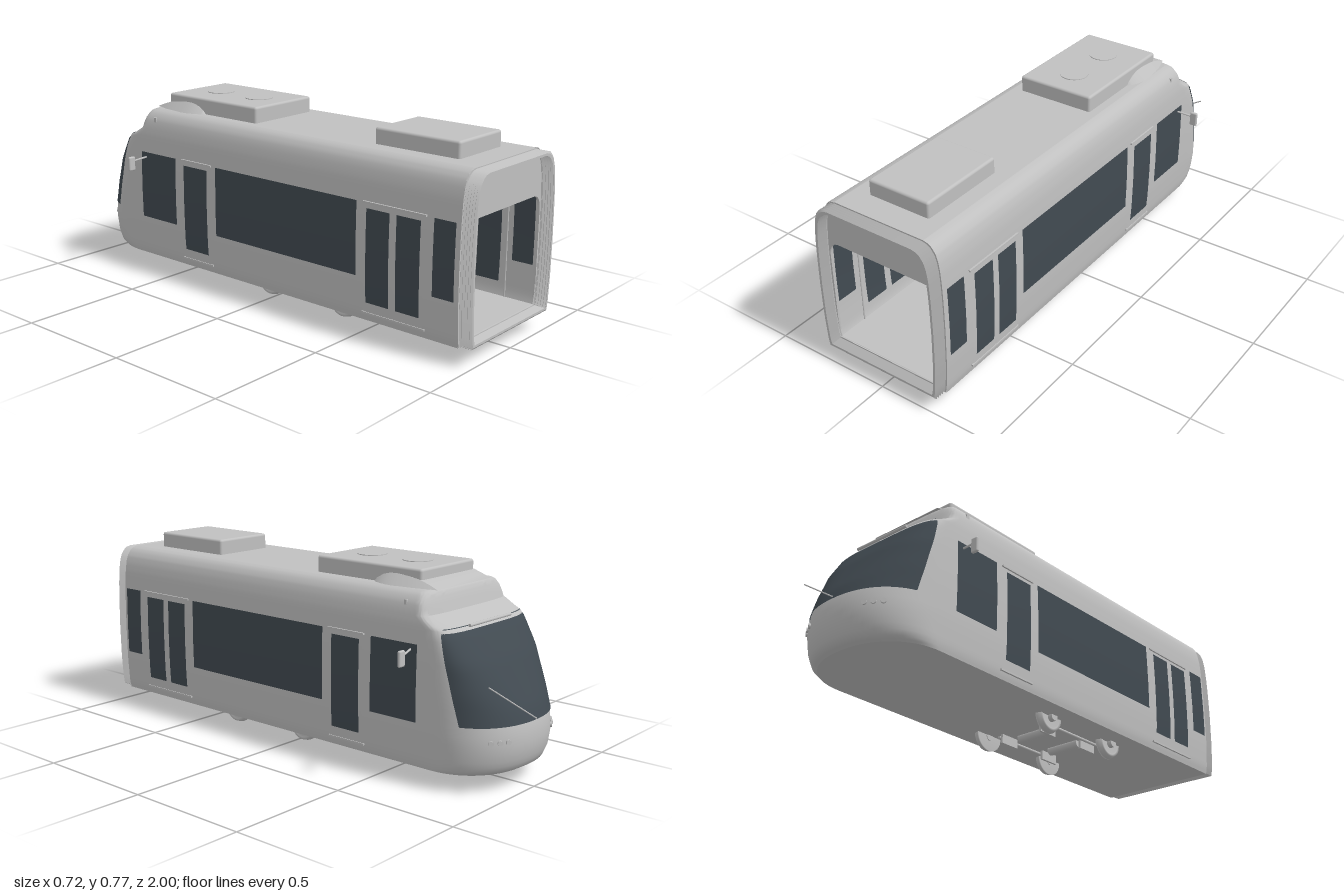
import * as THREE from 'three';
import { toCreasedNormals } from 'three/addons/utils/BufferGeometryUtils.js';
import { RoundedBoxGeometry } from 'three/addons/geometries/RoundedBoxGeometry.js';

const V = (x, y, z) => new THREE.Vector3(x, y, z);
// piecewise-linear lookup in a list of [key, value]
function lookup(table, k) {
  if (k <= table[0][0]) return table[0][1];
  for (let i = 1; i < table.length; i++) {
    const [a, va] = table[i - 1], [b, vb] = table[i];
    if (k <= b) return va + (vb - va) * (k - a) / (b - a);
  }
  return table[table.length - 1][1];
}
// body half width, nose reach, nose depth and nose squareness by height
const WIDTH = [[.065, .26], [.09, .266], [.2, .273], [.35, .275], [.48, .273], [.55, .27], [.6, .266], [.64, .259], [.665, .25], [.685, .235], [.695, .221], [.7, .2]];
const NOSE = [[.065, -.95], [.08, -.975], [.12, -.992], [.18, -1], [.25, -.992], [.3, -.973], [.46, -.877], [.577, -.788], [.59, -.755], [.62, -.7], [.66, -.687], [.69, -.675], [.7, -.66]];
const DEPTH = [[.065, .23], [.25, .25], [.4, .2], [.577, .09], [.59, .07], [.62, .05], [.7, .04]];
const POWER = [[.065, 2.2], [.3, 2.3], [.577, 4], [.7, 4]];
const LEVELS = [.065, .072, .08, .1, .12, .15, .18, .215, .25, .275, .3, .35, .4, .46, .5, .54, .577, .59, .605, .62, .64, .655, .665, .675, .685, .69, .695, .7];
const TAIL = .945;

// surface through rows of points
function grid(rows, crease = 0.7) {
  const n = rows[0].length, index = [];
  const g = new THREE.BufferGeometry().setFromPoints(rows.flat());
  for (let r = 0; r < rows.length - 1; r++) for (let c = 0; c < n - 1; c++) {
    const a = r * n + c, b = a + 1, d = a + n, e = d + 1;
    index.push(a, b, d, b, e, d);
  }
  g.setIndex(index);
  return toCreasedNormals(g, crease);
}
// point on the nose at angle t (0 = +x side, PI = -x side)
function nosePoint(y, t, off = 0) {
  const p = 2 / lookup(POWER, y), w = lookup(WIDTH, y) + off, d = lookup(DEPTH, y);
  const c = Math.cos(t), s = Math.max(0, Math.sin(t));
  return V(w * Math.sign(c) * Math.abs(c) ** p, y, lookup(NOSE, y) + d - (d + off) * s ** p);
}
function outline(y) {
  const pts = [V(lookup(WIDTH, y), y, TAIL)];
  for (let i = 0; i <= 40; i++) pts.push(nosePoint(y, Math.PI * i / 40));
  pts.push(V(-lookup(WIDTH, y), y, TAIL));
  return pts;
}
// closed cross-section of the body at one z
function section(inset, z) {
  const k = 1 - inset / .32;
  const side = s => LEVELS.map(y => V(s * (lookup(WIDTH, y) - inset), .3825 + (y - .3825) * k, z));
  const pts = [...side(1), ...side(-1).reverse()];
  return [...pts, pts[0].clone()];
}
// curved plate following a side wall
function sidePatch(s, z0, z1, y0, y1, off) {
  const rows = [];
  for (let i = 0; i <= 8; i++) {
    const y = y0 + (y1 - y0) * i / 8, x = s * (lookup(WIDTH, y) + off);
    rows.push(s > 0 ? [V(x, y, z0), V(x, y, z1)] : [V(x, y, z1), V(x, y, z0)]);
  }
  return grid(rows.map(r => r.reverse()));
}

export function createModel() {
  const tram = new THREE.Group();
  const grey = new THREE.MeshStandardMaterial({ color: 0xc0c0c0, side: THREE.DoubleSide });
  grey.name = 'bodyGrey';
  const glass = new THREE.MeshStandardMaterial({ color: 0x414a51, side: THREE.DoubleSide });
  glass.name = 'darkGlass';

  const add = (name, geo, mat = grey, x = 0, y = 0, z = 0) => {
    const m = new THREE.Mesh(geo, mat);
    m.name = name;
    m.position.set(x, y, z);
    tram.add(m);
    return m;
  };
  const box = (name, w, h, d, x, y, z, mat) => add(name, new THREE.BoxGeometry(w, h, d), mat, x, y, z);
  const rod = (name, a, b, r, mat) => {
    const m = add(name, new THREE.CylinderGeometry(r, r, a.distanceTo(b), 12), mat);
    m.position.copy(a).lerp(b, .5);
    m.quaternion.setFromUnitVectors(V(0, 1, 0), b.clone().sub(a).normalize());
    return m;
  };

  // outer body
  add('bodyShell', grid(LEVELS.map(y => outline(y).reverse())));
  const cap = y => [outline(y), outline(y).map(p => V(0, p.y, p.z))];
  add('roof', grid(cap(.7).map(r => r.reverse())));
  add('underside', grid(cap(.065)));

  // lining, floor and bulkhead of the saloon
  add('innerLining', grid([section(.016, .95), section(.016, -.6)]));
  box('saloonFloor', .5, .012, 1.56, 0, .078, .17);
  box('bulkhead', .51, .58, .012, 0, .38, -.6);
  box('signFrame', .13, .045, .008, 0, .478, -.59);
  box('signGlass', .12, .037, .008, 0, .478, -.587, glass);
  box('cabWindow', .105, .09, .008, -.115, .375, -.59, glass);

  // frame of the open end
  const frame = new THREE.Shape(section(.002, 0).map(p => new THREE.Vector2(p.x, p.y)));
  const hole = new THREE.Path();
  hole.moveTo(-.25, .083);
  hole.lineTo(-.25, .455);
  hole.quadraticCurveTo(-.25, .515, -.2, .515);
  hole.lineTo(.2, .515);
  hole.quadraticCurveTo(.25, .515, .25, .455);
  hole.lineTo(.25, .083);
  frame.holes.push(hole);
  add('endFrame', new THREE.ExtrudeGeometry(frame, { depth: .01, bevelEnabled: false }), grey, 0, 0, .937);

  // folded bellows
  const folds = [];
  for (let i = 0; i <= 10; i++) folds.push(section(i % 2 ? .004 : .011, .945 + .055 * i / 10));
  for (let i = 10; i >= 0; i--) folds.push(section(i % 2 ? .013 : .02, .945 + .055 * i / 10));
  add('bellows', grid(folds, .5));

  // windscreen wrapped round the nose
  const screen = [];
  for (let j = 0; j <= 16; j++) {
    const y = .25 + (.582 - .25) * j / 16, d = lookup(DEPTH, y);
    const edge = lookup([[.25, -.845], [.582, -.755]], y);
    const f = THREE.MathUtils.clamp((lookup(NOSE, y) + d - edge) / d, 0, 1);
    const t0 = Math.asin(f ** (lookup(POWER, y) / 2)), row = [];
    for (let i = 0; i <= 32; i++) row.push(nosePoint(y, Math.PI - t0 - (Math.PI - 2 * t0) * i / 32, .003));
    screen.push(row);
  }
  add('windscreen', grid(screen), glass);
  rod('screenBar', V(-.13, .583, -.79), V(.13, .583, -.79), .006);
  rod('wiper', V(0, .255, -.998), V(.23, .405, -.945), .0025);

  for (const s of [1, -1]) {
    // side windows, seen from both sides
    for (const [z0, z1] of [[.93, .84], [.5, -.225], [-.46, -.67]]) {
      add('sideWindow', sidePatch(s, z0, z1, .235, .52, .003), glass);
      if (z1 > -.5) add('sideWindowInside', sidePatch(s, z0, z1, .235, .52, -.021), glass);
    }
    // doors
    for (const [z0, z1] of [[.8, .67], [.665, .535], [-.26, -.42]]) {
      add('doorLeaf', sidePatch(s, z0, z1, .1, .515, .003));
      add('doorGlass', sidePatch(s, z0 - .013, z1 + .013, .14, .5, .006), glass);
      add('doorGlassInside', sidePatch(s, z0 - .013, z1 + .013, .14, .5, -.021), glass);
    }
    for (const [z, len] of [[.668, .28], [-.34, .175]]) {
      box('doorTopRail', .012, .007, len, s * .272, .521, z);
      box('doorSill', .012, .007, len, s * .267, .098, z);
    }
    // mirror
    rod('mirrorArm', V(s * .27, .5, -.64), V(s * .335, .49, -.655), .004);
    add('mirror', new RoundedBoxGeometry(.032, .06, .014, 3, .006), grey, s * .345, .48, -.655);
    // headlights
    for (let i = 0; i < 3; i++) {
      const t = Math.acos(s * (.47 + i * .11)), p = nosePoint(.195, t);
      const q = nosePoint(.195, t, .006);
      rod('headlight', p, p.clone().add(q.sub(p).setLength(.007)), .01);
    }
    // wheels with guards and brake shoes
    for (const z of [.355, -.025]) {
      const tyre = [[0, -.01], [.045, -.01], [.05, -.013], [.06, -.013], [.066, .006], [.066, .012], [0, .012]];
      const wheel = add('wheel', new THREE.LatheGeometry(tyre.map(p => new THREE.Vector2(...p)), 32), grey, s * .16, .066, z);
      wheel.rotation.z = s * Math.PI / 2;
      rod('axleBox', V(s * .145, .06, z), V(s * .19, .06, z), .018);
      box('wheelGuard', .045, .03, .1, s * .177, .138, z);
    }
    for (const z of [.29, .04]) box('brakeBar', .01, .04, .09, s * .1, .047, z);
    rod('sideRod', V(s * .12, .058, .33), V(s * .12, .058, 0), .006);
    // platforms and seats
    box('seatPlatform', .18, .036, .62, s * .157, .102, .14);
    for (const z of [.32, .08, -.14]) for (const x of [.118, .205]) {
      box('seatBack', .083, .15, .014, s * x, .275, z - .06);
      box('seatCushion', .083, .02, .1, s * x, .21, z);
      box('seatBase', .05, .085, .05, s * x, .158, z);
    }
    // side poles
    for (const z of [.82, .51]) rod('sidePole', V(s * .243, .083, z), V(s * .243, .51, z), .003);
    rod('seatPole', V(s * .2, .083, .47), V(s * .2, .505, .47), .003);
  }
  for (const z of [.67, -.34]) rod('centrePole', V(0, .083, z), V(0, .512, z), .0035);

  // motors below the floor
  for (const z of [.26, .07]) rod('motor', V(-.085, .058, z), V(.065, .058, z), .02);

  // roof equipment with fairing
  add('frontRoofUnit', new RoundedBoxGeometry(.33, .08, .5, 3, .01), grey, 0, .725, -.352);
  add('rearRoofUnit', new RoundedBoxGeometry(.27, .08, .372, 3, .01), grey, 0, .723, .656);
  for (const z of [-.46, -.24]) add('roofFan', new THREE.CylinderGeometry(.058, .058, .006, 32), grey, 0, .765, z);
  const rise = [[-.675, 0], [-.64, .014], [-.6, .027], [-.56, .034], [-.5, .04], [-.46, .039], [-.43, .031], [-.4, .015], [-.385, 0]];
  add('roofFairing', grid(rise.map(([z, h]) => {
    const b = .167 + .9 * h;
    return [V(-b, .699, z), V(-.166, .699 + h, z), V(.166, .699 + h, z), V(b, .699, z)].reverse();
  }).reverse()));

  return tram;
}
